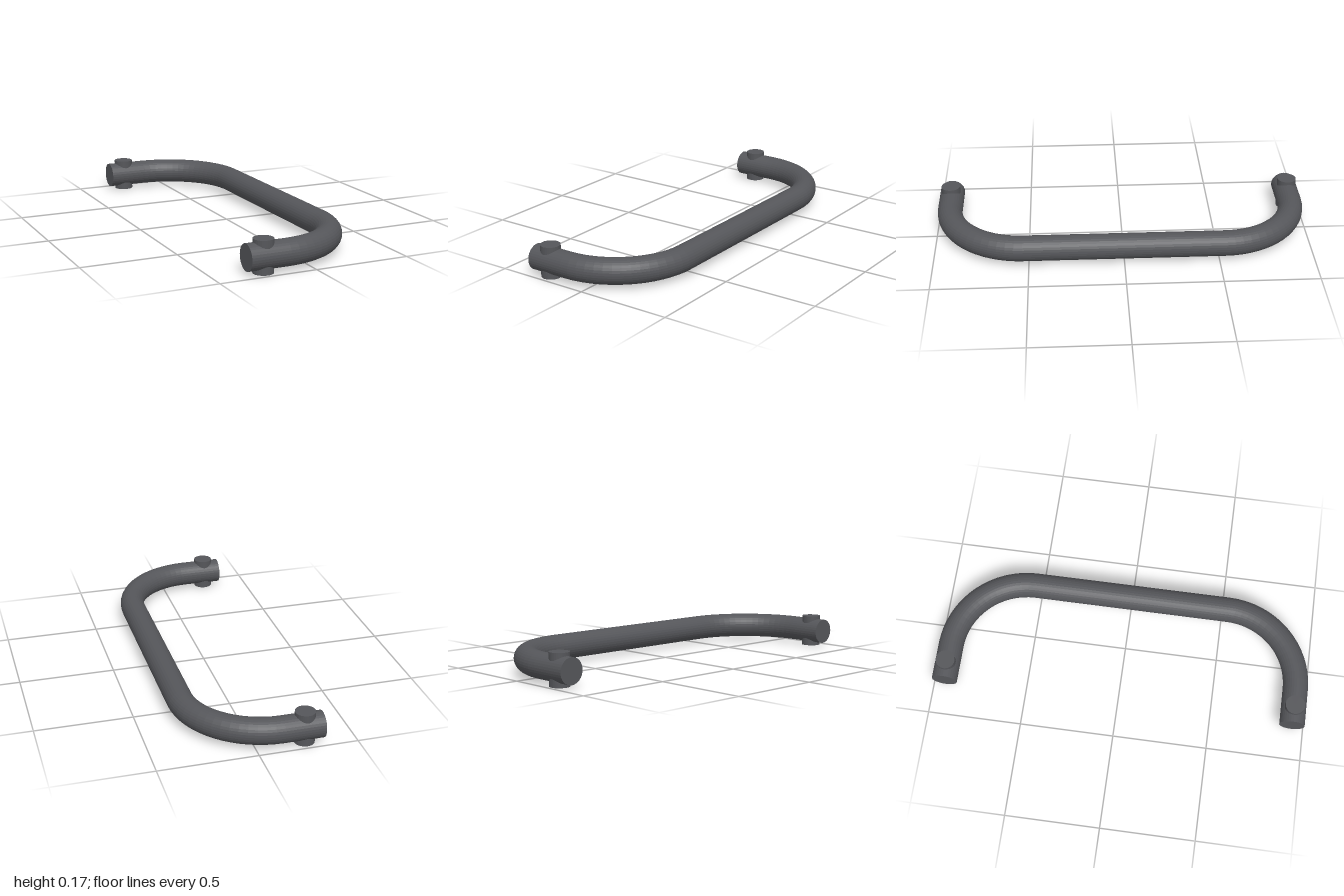
import * as THREE from 'three';

const TUBE_R = 0.067, SIDES = 32, BEND_R = 0.403, BEND_STEPS = 16;
const MID_Y = 0.084, END_X = -0.337, BEND_X = -0.133, LEG_Z = 0.933;

// Path of the bar: straight leg, quarter bend, long grip, quarter bend, straight leg
class BarPath extends THREE.Curve {
  constructor() {
    super();
    this.stations = [];
    const add = (x, z, a) => this.stations.push({
      point: new THREE.Vector3(x, MID_Y, z),
      tangent: new THREE.Vector3(Math.cos(a), 0, Math.sin(a)),
    });
    add(END_X, -LEG_Z, 0);
    for (const side of [-1, 1]) {
      for (let i = 0; i <= BEND_STEPS; i++) {
        const a = (i / BEND_STEPS + (side > 0 ? 1 : 0)) * Math.PI / 2;
        add(BEND_X + BEND_R * Math.sin(a), side * (LEG_Z - BEND_R) - BEND_R * Math.cos(a), a);
      }
    }
    add(END_X, LEG_Z, Math.PI);
  }
  station(u) { return this.stations[Math.round(u * (this.stations.length - 1))]; }
  getPointAt(u, target = new THREE.Vector3()) { return target.copy(this.station(u).point); }
  getTangentAt(u, target = new THREE.Vector3()) { return target.copy(this.station(u).tangent); }
}

export function createModel() {
  const group = new THREE.Group();
  group.name = 'pullHandle';
  const material = new THREE.MeshStandardMaterial({ color: 0x55565a, flatShading: true });

  const add = (name, geometry, x = 0, y = 0, z = 0) => {
    const mesh = new THREE.Mesh(geometry, material);
    mesh.name = name;
    mesh.position.set(x, y, z);
    group.add(mesh);
    return mesh;
  };

  // Bent round bar
  const path = new BarPath();
  add('bar', new THREE.TubeGeometry(path, path.stations.length - 1, TUBE_R, SIDES, false));

  for (const [label, side] of [['front', 1], ['back', -1]]) {
    // Flat end of the leg
    add(label + 'EndCap', new THREE.CircleGeometry(TUBE_R, SIDES), END_X, MID_Y, side * LEG_Z)
      .rotation.y = -Math.PI / 2;
    // Cross pin through the leg
    add(label + 'Pin', new THREE.CylinderGeometry(0.051, 0.051, 2 * MID_Y, SIDES), -0.248, MID_Y, side * LEG_Z);
  }
  return group;
}
